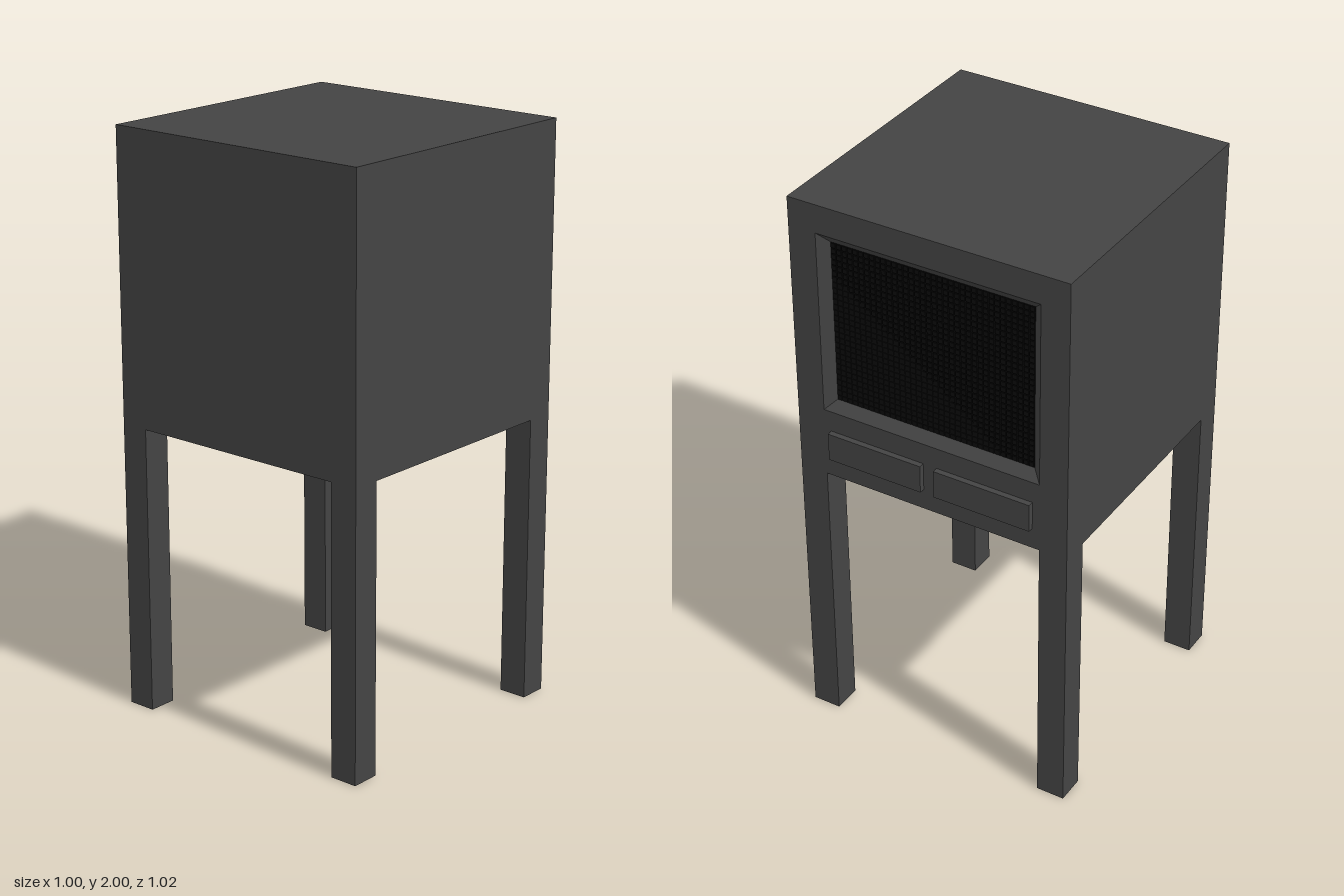
import * as THREE from 'three';
import { mergeGeometries } from 'three/addons/utils/BufferGeometryUtils.js';

const casing = new THREE.MeshStandardMaterial({ color: 0x444444 });
const black = new THREE.MeshStandardMaterial({ color: 0x0a0a0a });

// Skin a row of rectangles [halfWidth, halfHeight, centreY, z] with flat quads
function loftRectangles(sections) {
  const loops = sections.map(([w, h, y, z]) =>
    [[w, -h], [w, h], [-w, h], [-w, -h]].map(([dx, dy]) => [dx, y + dy, z]));
  const points = [];
  for (let i = 0; i < loops.length - 1; i++) {
    for (let j = 0; j < 4; j++) {
      const k = (j + 1) % 4;
      const a = loops[i][j], b = loops[i][k], c = loops[i + 1][k], d = loops[i + 1][j];
      points.push(...a, ...d, ...c, ...a, ...c, ...b);
    }
  }
  const geometry = new THREE.BufferGeometry();
  geometry.setAttribute('position', new THREE.Float32BufferAttribute(points, 3));
  geometry.computeVertexNormals();
  return geometry;
}

function addMesh(parent, name, geometry, material, x = 0, y = 0, z = 0) {
  const mesh = new THREE.Mesh(geometry, material);
  mesh.name = name;
  mesh.position.set(x, y, z);
  parent.add(mesh);
  return mesh;
}

export function createModel() {
  const model = new THREE.Group();
  model.name = 'cabinetOnLegs';

  const screenW = 0.73, screenH = 0.58, screenY = 1.575, screenZ = -0.46;

  // Cabinet: closed front, four sides, back rim and sloping screen surround
  addMesh(model, 'cabinet', loftRectangles([
    [0, 0, 1.5, 0.51],
    [0.5, 0.5, 1.5, 0.51],
    [0.5, 0.5, 1.5, -0.49],
    [0.4, 0.325, screenY, -0.49],
    [screenW / 2, screenH / 2, screenY, screenZ],
  ]), casing);

  // Screen: backing sheet with a fine raster of raised cells
  const screen = new THREE.Group();
  screen.name = 'screen';
  screen.position.set(0, screenY, screenZ);
  model.add(screen);
  addMesh(screen, 'screenBacking',
    new THREE.PlaneGeometry(screenW, screenH).rotateY(Math.PI), black);
  const columns = 36, rows = 29;
  const stepX = screenW / columns, stepY = screenH / rows;
  const cells = [];
  for (let i = 0; i < columns; i++) {
    for (let j = 0; j < rows; j++) {
      cells.push(new THREE.BoxGeometry(stepX * 0.8, stepY * 0.8, 0.004).translate(
        (i + 0.5) * stepX - screenW / 2, (j + 0.5) * stepY - screenH / 2, -0.001));
    }
  }
  addMesh(screen, 'screenCells', mergeGeometries(cells), black);

  // Two raised panels below the screen
  for (const side of [-1, 1]) {
    addMesh(model, side > 0 ? 'leftPanel' : 'rightPanel',
      new THREE.BoxGeometry(0.35, 0.1, 0.03), casing, side * 0.2, 1.125, -0.495);
  }

  // Square legs flush with the cabinet corners
  for (const x of [-0.45, 0.45]) {
    for (const z of [-0.44, 0.46]) {
      addMesh(model, (z > 0 ? 'front' : 'back') + (x > 0 ? 'LeftLeg' : 'RightLeg'),
        new THREE.BoxGeometry(0.1, 1, 0.1), casing, x, 0.5, z);
    }
  }

  // Underside
  addMesh(model, 'underside',
    new THREE.PlaneGeometry(1, 1).rotateX(Math.PI / 2), casing, 0, 1, 0.01);

  return model;
}
